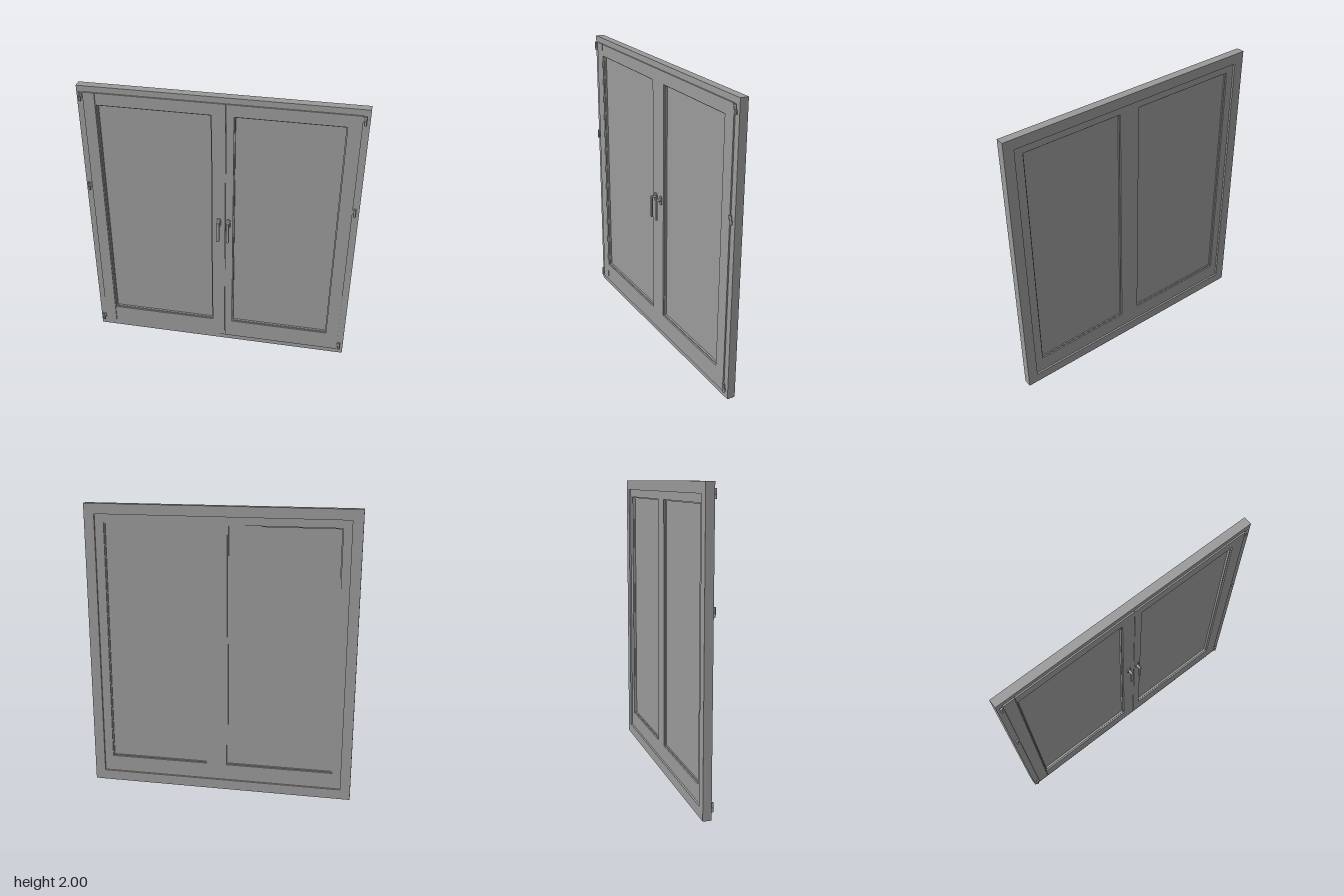
import * as THREE from 'three';

const material = new THREE.MeshStandardMaterial({ color: 0x9a9a9a });

function add(parent, name, geometry, x = 0, y = 0, z = 0) {
  const mesh = new THREE.Mesh(geometry, material);
  mesh.name = name;
  mesh.position.set(x, y, z);
  parent.add(mesh);
  return mesh;
}

// Corners of a rectangle [x0, x1, y0, y1]
const corners = ([x0, x1, y0, y1]) =>
  [[x0, y0], [x1, y0], [x1, y1], [x0, y1]].map(([x, y]) => new THREE.Vector2(x, y));

// Flat panel with rectangular holes between two depths
function panel(outer, holes, z0, z1) {
  const shape = new THREE.Shape(corners(outer));
  holes.forEach((h) => shape.holes.push(new THREE.Path(corners(h))));
  return new THREE.ExtrudeGeometry(shape, { depth: z1 - z0, bevelEnabled: false }).translate(0, 0, z0);
}

const inset = ([x0, x1, y0, y1], d) => [x0 + d, x1 - d, y0 + d, y1 - d];

// Frame rail notched at both ends to meet the stiles; dir points into the opening
function notchedRail(y, dir, z0, z1) {
  const points = [[-0.92, 0], [0.92, 0], [0.92, 0.04], [0.85, 0.04], [0.85, 0.07], [-0.85, 0.07], [-0.85, 0.04], [-0.92, 0.04]];
  const shape = new THREE.Shape(points.map(([px, py]) => new THREE.Vector2(px, y + dir * py)));
  return new THREE.ExtrudeGeometry(shape, { depth: z1 - z0, bevelEnabled: false }).translate(0, 0, z0);
}

function createHandle(x) {
  const handle = new THREE.Group();
  handle.name = 'handle';
  handle.position.set(x, 1.07, 0);

  // Rounded bar: half width r, from y0 to y1
  const bar = (r, y0, y1, z0, z1, bevel) => {
    const s = new THREE.Shape();
    s.absarc(0, y1 - r, r - bevel, 0, Math.PI);
    s.absarc(0, y0 + r, r - bevel, Math.PI, Math.PI * 2);
    s.closePath();
    return new THREE.ExtrudeGeometry(s, {
      depth: z1 - z0 - bevel * 2, bevelSize: bevel, bevelThickness: bevel, bevelSegments: 3, curveSegments: 12,
    }).translate(0, 0, z0 + bevel);
  };
  add(handle, 'handlePlate', bar(0.015, -0.033, 0.033, 0.011, 0.02, 0.002));
  add(handle, 'handleNeck', new THREE.CylinderGeometry(0.008, 0.01, 0.028, 20).rotateX(Math.PI / 2), 0, 0.006, 0.033);
  add(handle, 'handleGrip', bar(0.011, -0.14, 0.018, 0.043, 0.053, 0.003));
  return handle;
}

function createHinge(x, y, side) {
  const hinge = new THREE.Group();
  hinge.name = 'hinge';
  hinge.position.set(x, y, 0);
  add(hinge, 'hingeLeaf', new THREE.BoxGeometry(0.016, 0.03, 0.01), -side * 0.006, 0.012, 0.013);
  add(hinge, 'hingeFrameLeaf', new THREE.BoxGeometry(0.01, 0.026, 0.012), side * 0.004, -0.016, 0.009);
  // Two barrel knuckles with a fine gap between them
  for (const dy of [-0.0155, 0.0155]) {
    add(hinge, 'hingeBarrel', new THREE.CylinderGeometry(0.007, 0.007, 0.029, 16), side * 0.004, dy, 0.015);
  }
  return hinge;
}

export function createModel() {
  const model = new THREE.Group();
  model.name = 'doubleWindow';

  const openings = [[-0.794, -0.05, 0.184, 1.877], [0.093, 0.789, 0.184, 1.877]];
  const frameBack = -0.053, frameFront = 0.003, sashFront = 0.012, sashBack = -0.04;

  // Fixed outer frame: stiles between two notched rails
  add(model, 'bottomRail', notchedRail(0, 1, frameBack, frameFront));
  add(model, 'topRail', notchedRail(2, -1, frameBack, frameFront));
  add(model, 'rightStile', panel([-0.92, -0.85, 0.04, 1.96], [], frameBack, frameFront));
  add(model, 'leftStile', panel([0.85, 0.92, 0.04, 1.96], [], frameBack, frameFront));

  // Sash bodies, set back from the rear of the frame
  add(model, 'sashBody', panel([-0.85, 0.85, 0.07, 1.93], openings, sashBack, frameFront));

  // Front sash faces overlapping the frame, with fine joints between them
  add(model, 'sideStile', panel([-0.88, -0.803, 0.04, 1.96], [], frameFront, sashFront));
  add(model, 'rightSashFace', panel([-0.8, 0.039, 0.04, 1.96], [openings[0]], frameFront, sashFront));
  add(model, 'leftSashFace', panel([0.042, 0.877, 0.04, 1.96], [openings[1]], frameFront, sashFront));

  // Glazing beads stepping down to the panes
  for (const o of openings) {
    add(model, 'frontBead', panel(o, [inset(o, 0.007)], -0.012, 0.002));
    add(model, 'backBead', panel(o, [inset(o, 0.007)], -0.031, -0.022));
    add(model, 'pane', panel(o, [], -0.022, -0.012));
  }

  // Hinges on both outer edges
  for (const y of [0.075, 1.26, 1.93]) {
    model.add(createHinge(-0.895, y, -1), createHinge(0.888, y, 1));
  }

  // Handles on the meeting stiles
  model.add(createHandle(-0.005), createHandle(0.062));
  return model;
}
